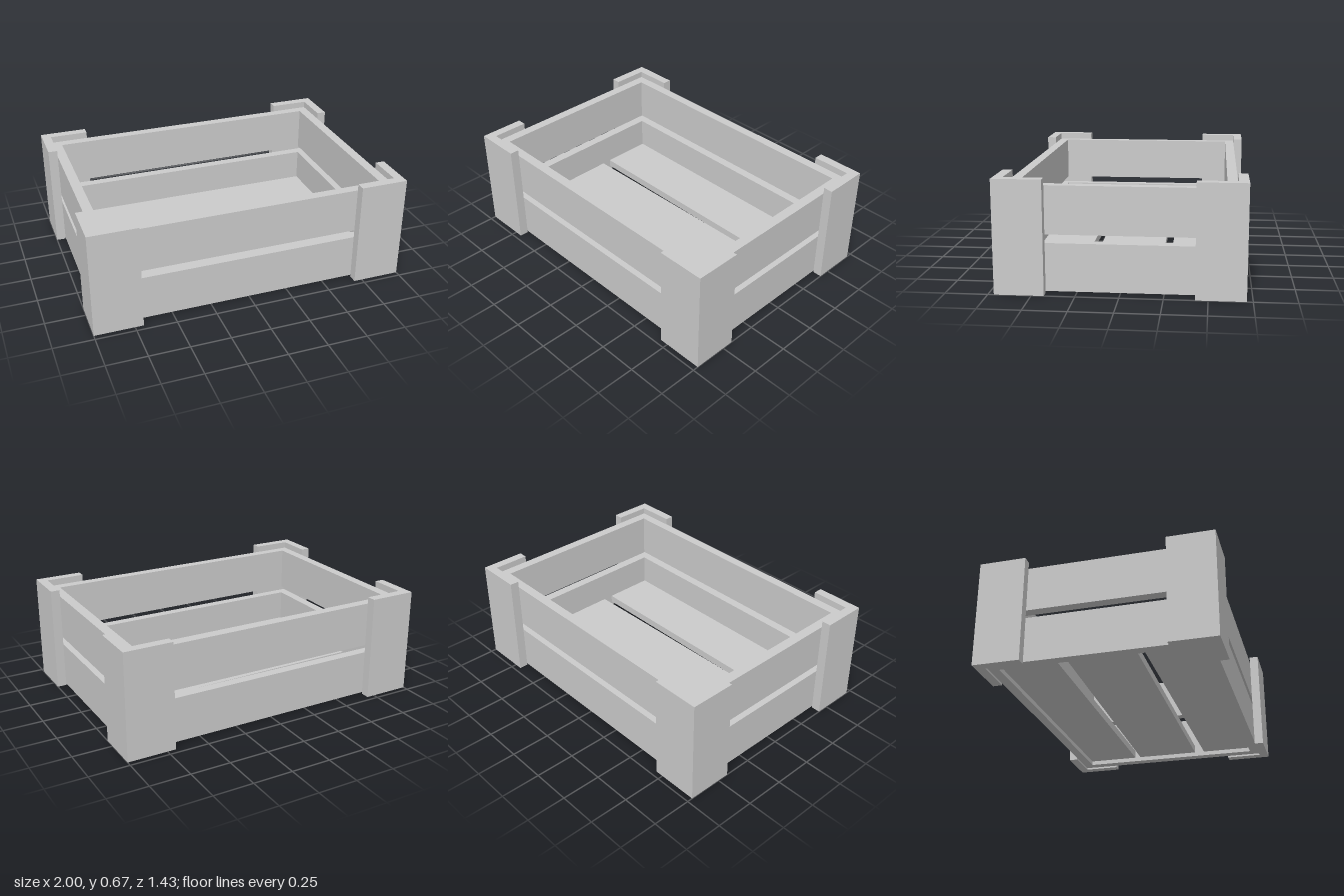
import * as THREE from 'three';

export function createModel() {
  const crate = new THREE.Group();
  crate.name = 'crate';
  const material = new THREE.MeshStandardMaterial({ color: 0xcccccc, flatShading: true });

  const board = (name, size, position, turn = 0) => {
    const mesh = new THREE.Mesh(new THREE.BoxGeometry(...size), material);
    mesh.name = name;
    mesh.position.set(...position);
    mesh.rotation.y = turn;
    crate.add(mesh);
  };

  // L-shaped corner posts, wrapped around the outside of the walls
  const X = 1, Z = 0.715, T = 0.058, H = 0.67;
  for (const sx of [-1, 1]) {
    for (const sz of [-1, 1]) {
      const outline = [
        [X, Z], [0.697, Z], [0.697, Z - T], [X - T, Z - T], [X - T, 0.427], [X, 0.427],
      ].map(([x, z]) => new THREE.Vector2(x * sx, -z * sz));
      const geometry = new THREE.ExtrudeGeometry(new THREE.Shape(outline), { depth: H, bevelEnabled: false });
      geometry.rotateX(-Math.PI / 2);
      const post = new THREE.Mesh(geometry, material);
      post.name = (sz > 0 ? 'front' : 'back') + (sx > 0 ? 'Left' : 'Right') + 'Post';
      crate.add(post);
    }
  }

  // Two rows of wall boards with a gap between them
  const rows = [['lower', 0.012, 0.295], ['upper', 0.345, 0.628]];
  for (const [row, y0, y1] of rows) {
    const h = y1 - y0, y = (y0 + y1) / 2;
    for (const s of [-1, 1]) {
      board(row + (s > 0 ? 'Front' : 'Back') + 'Board', [1.76, h, 0.06], [0, y, s * 0.627]);
      board(row + (s > 0 ? 'Left' : 'Right') + 'Board', [0.062, h, 1.314], [s * 0.911, y, 0]);
    }
  }

  // Floor slats, the middle one slightly askew
  const floorY = 0.065, floorT = 0.05;
  board('backFloorSlat', [1.76, floorT, 0.337], [0, floorY, -0.4285]);
  board('middleFloorSlat', [1.76, floorT, 0.415], [0, floorY, -0.002], 0.014);
  board('frontFloorSlat', [1.76, floorT, 0.337], [0, floorY, 0.4285]);

  return crate;
}
